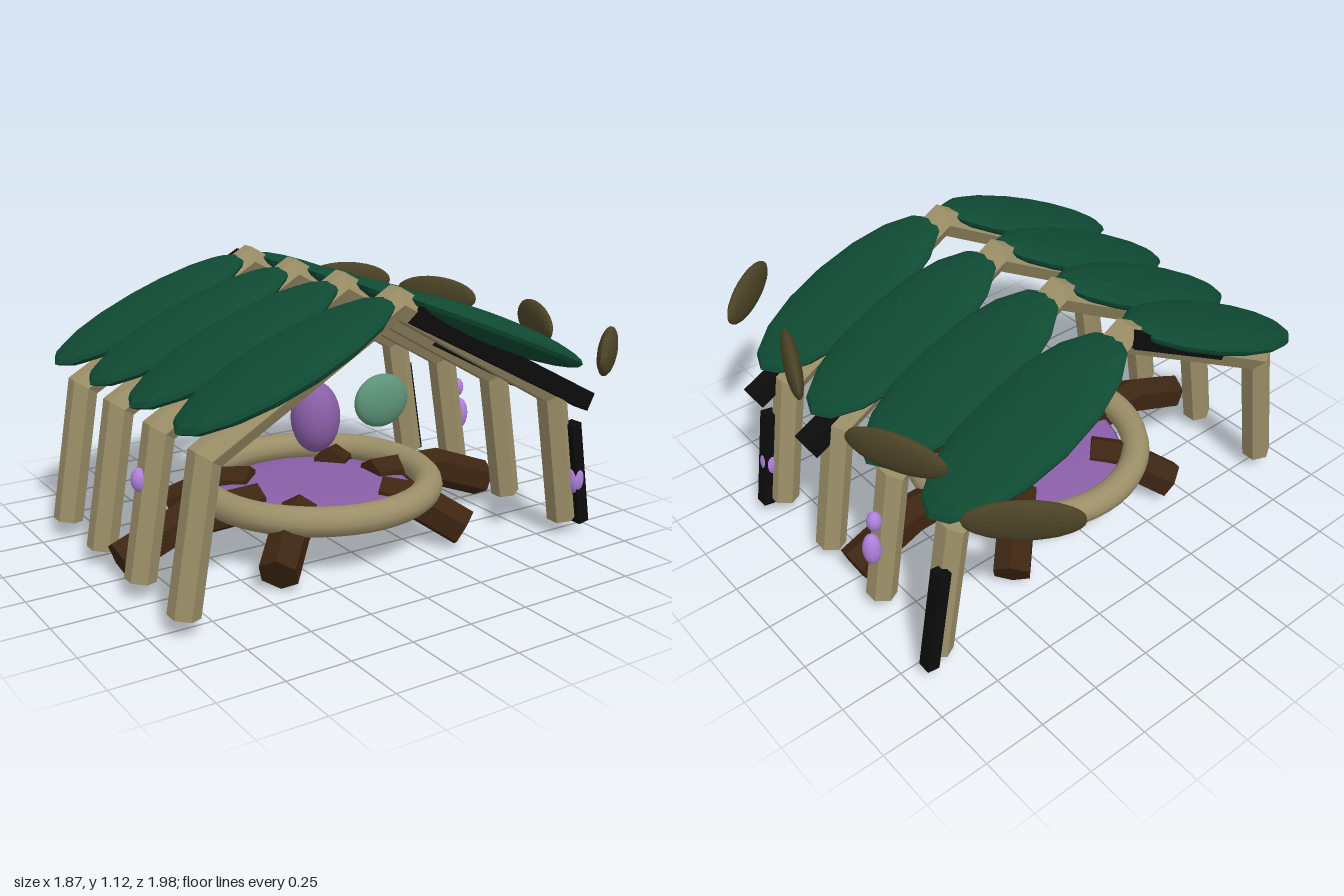
import * as THREE from 'three';

const mat = (name, color) => Object.assign(new THREE.MeshStandardMaterial({ color }), { name });

// Geometry with one normal per face
function faceted(geo) {
  const g = geo.index ? geo.toNonIndexed() : geo;
  g.computeVertexNormals();
  return g;
}

// Mitred log along a flat polyline in the xy plane
function logGeometry(path, radius, sides, phase) {
  const pts = path.map(([x, y]) => new THREE.Vector2(x, y));
  const dirs = pts.slice(1).map((p, i) => p.clone().sub(pts[i]).normalize());
  const pos = [], index = [];
  pts.forEach((p, i) => {
    const a = dirs[Math.max(0, i - 1)], b = dirs[Math.min(i, dirs.length - 1)];
    const t = a.clone().add(b).normalize();
    const r = radius / t.dot(b);
    for (let j = 0; j < sides; j++) {
      const ang = phase + (j / sides) * Math.PI * 2;
      const c = Math.cos(ang) * r;
      pos.push(p.x - t.y * c, p.y + t.x * c, Math.sin(ang) * radius);
    }
  });
  for (let i = 0; i < pts.length - 1; i++) {
    for (let j = 0; j < sides; j++) {
      const k = (j + 1) % sides, o = i * sides, q = o + sides;
      index.push(o + j, o + k, q + k, o + j, q + k, q + j);
    }
  }
  const e = (pts.length - 1) * sides;
  for (let j = 1; j < sides - 1; j++) index.push(0, j + 1, j, e, e + j, e + j + 1);
  const g = new THREE.BufferGeometry();
  g.setAttribute('position', new THREE.Float32BufferAttribute(pos, 3));
  g.setIndex(index);
  return faceted(g);
}

export function createModel() {
  const model = new THREE.Group();
  model.name = 'leafShelter';
  const core = new THREE.Group();
  core.name = 'shelter';
  core.position.x = -0.01;
  model.add(core);

  const paleWood = mat('paleWood', 0x9c8f68);
  const leafGreen = mat('leafGreen', 0x0f4a33);
  const darkWood = mat('darkWood', 0x3d2512);
  const olive = mat('olive', 0x4b4327);
  const purple = mat('purple', 0x8a5fa8);
  const mint = mat('mint', 0x5c9478);
  const lilac = mat('lilac', 0xb080dc);
  const charcoal = mat('charcoal', 0x0c0c0c);

  const add = (parent, name, geo, material, p = [0, 0, 0], r = [0, 0, 0]) => {
    const m = new THREE.Mesh(geo, material);
    m.name = name;
    m.position.set(...p);
    m.rotation.set(...r);
    parent.add(m);
    return m;
  };
  const oval = (rx, ry, rz, w = 24, h = 16) => new THREE.SphereGeometry(1, w, h).scale(rx, ry, rz);

  // Four bent frames, each roofed by a pair of leaves
  const frame = logGeometry(
    [[-0.865, 0.075], [-0.77, 0.63], [0, 1.07], [0.77, 0.63], [0.865, 0.075]], 0.06, 6, Math.PI / 6);
  const leaf = faceted(oval(0.46, 0.06, 0.212, 16, 12));
  for (const z of [-0.54, -0.18, 0.18, 0.54]) {
    add(core, 'frame', frame, paleWood, [0, 0, z * 0.985]);
    for (const s of [-1, 1]) add(core, 'roofLeaf', leaf, leafGreen, [s * 0.455, 0.91, z], [0, 0, -s * 0.4]);
  }

  // Round basin with its pool
  add(core, 'basinRim', new THREE.TorusGeometry(0.46, 0.058, 12, 48).rotateX(Math.PI / 2), paleWood, [0, 0.24, 0]);
  add(core, 'pool', oval(0.405, 0.033, 0.405, 32, 12), purple, [0, 0.2, 0]);

  // Six bent roots carrying the basin
  const longRoot = logGeometry([[0.27, 0.2], [0.6, 0.19], [0.87, 0.085]], 0.08, 6, 0);
  const shortRoot = logGeometry([[0.27, 0.2], [0.42, 0.185], [0.61, 0.085]], 0.08, 6, 0);
  for (const a of [0, 1, 3, 4, 5, 7]) {
    add(core, 'root', a % 4 === 0 ? longRoot : shortRoot, darkWood, [0, 0, 0], [0, a * Math.PI / 4, 0]);
  }

  // Floating core and the mint disc before it
  add(core, 'floatingCore', oval(0.1, 0.146, 0.1), purple, [0, 0.51, 0]);
  add(core, 'mintDisc', oval(0.115, 0.1, 0.045), mint, [0, 0.69, 0.455]);

  // Olive discs fanned out along the left side
  const disc = faceted(oval(0.033, 0.082, 0.203, 18, 14));
  for (const s of [-1, 1]) {
    add(model, 'oliveDisc', disc, olive, [0.72, 0.865, s * 0.86], [0, -s * 0.89, 0]);
    add(model, 'oliveDisc', disc, olive, [0.84, 0.865, s * 0.33], [0, -s * 0.41, 0]);
  }

  // Charcoal strips on posts and rafters
  for (const s of [-1, 1]) {
    add(model, 'postStrip', new THREE.BoxGeometry(0.05, 0.44, 0.055), charcoal, [0.883, 0.275, s * 0.57], [0, 0, 0.17]);
  }
  add(model, 'rafterStrip', new THREE.BoxGeometry(0.97, 0.075, 0.07), charcoal, [0.47, 0.805, 0.58], [0, 0, -0.482]);
  add(model, 'rafterStrip', new THREE.BoxGeometry(0.54, 0.075, 0.09), charcoal, [0.66, 0.705, 0.195], [0, 0, -0.482]);
  add(model, 'rafterStrip', new THREE.BoxGeometry(0.55, 0.06, 0.055), charcoal, [-0.25, 0.95, -0.58], [0, 0, 0.51]);

  // Lilac buds on the posts: x, y, z, height radius
  for (const [x, y, z, h] of [
    [0.865, 0.46, -0.19, 0.042], [0.885, 0.335, -0.19, 0.07], [0.88, 0.25, 0.57, 0.065], [-0.865, 0.46, 0.18, 0.045],
  ]) {
    const w = h > 0.05 ? 0.037 : 0.03;
    add(model, 'bud', oval(w, h, w, 12, 10), lilac, [x, y, z]);
  }
  return model;
}
